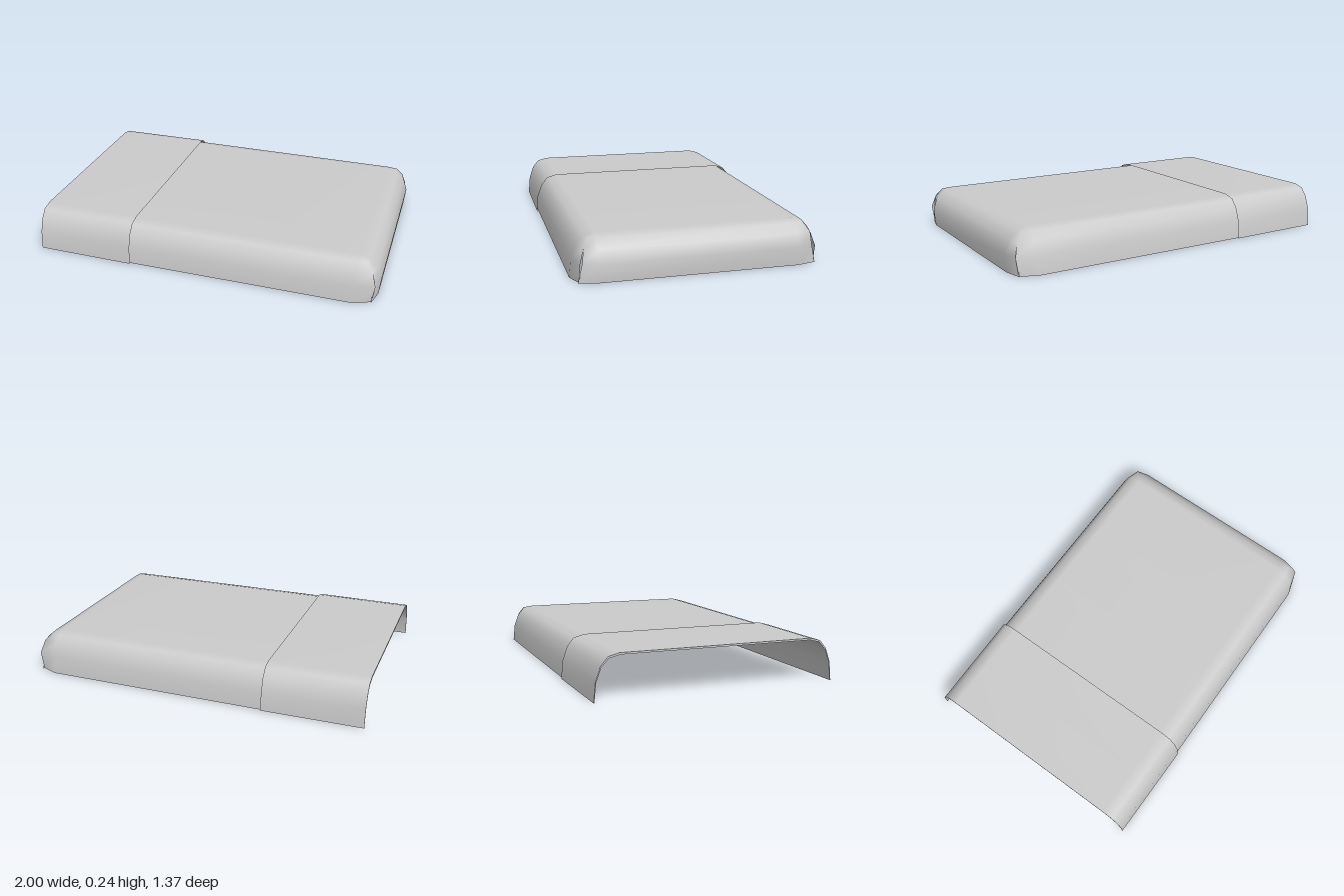
import * as THREE from 'three';
import { mergeVertices, mergeGeometries } from 'three/addons/utils/BufferGeometryUtils.js';

// Skin a list of equal-length rows of [x, y, z] points
function loft(rows) {
  const n = rows[0].length, index = [];
  for (let r = 0; r < rows.length - 1; r++) {
    for (let i = 0; i < n - 1; i++) {
      const a = r * n + i, b = a + 1, d = a + n, c = d + 1;
      index.push(a, b, c, a, c, d);
    }
  }
  const g = new THREE.BufferGeometry();
  g.setAttribute('position', new THREE.Float32BufferAttribute(rows.flat(2), 3));
  g.setIndex(index);
  return g;
}

// Mirror a row from +z to -z, keeping its left-to-right direction along x
const mirrorRow = (row) => row.map(([x, y, z]) => [x, y, -z]);

export function createModel() {
  const group = new THREE.Group();
  const material = new THREE.MeshStandardMaterial({ color: 0xcccccc, side: THREE.DoubleSide });
  const add = (name, parts) => {
    const g = mergeVertices(mergeGeometries(parts), 1e-4);
    g.computeVertexNormals();
    const mesh = new THREE.Mesh(g, material);
    mesh.name = name;
    group.add(mesh);
  };

  // Drape levels, hem to top: height, side z, foot x, corner of side flap, corner of foot flap
  const levels = [
    { y: 0, z: 0.675, x: 0.99, side: [0.965, 0.635], foot: [0.965, 0.645] },
    { y: 0.1, z: 0.665, x: 1.0, side: [0.98, 0.635], foot: [0.967, 0.622] },
    { y: 0.173, z: 0.638, x: 0.975, side: [0.957, 0.613], foot: [0.957, 0.613] },
    { y: 0.217, z: 0.6, x: 0.925, side: [0.92, 0.588], foot: [0.92, 0.588] },
    { y: 0.232, z: 0.54, x: 0.87, side: [0.87, 0.54], foot: [0.87, 0.54] },
  ];
  const xs = [-1, -0.715, -0.43, 0, 0.43, 0.87];

  // Blanket: one sheet over the top and both sides, tucked round the corners
  const sideRows = levels.map(({ y, z, side }) =>
    [...xs.map((x) => [x, y, z]), [side[0], y, side[1]]]);
  const sheet = loft([...sideRows, ...sideRows.map(mirrorRow).reverse()]);

  // Foot drape, meeting the side flaps at the corners
  const foot = loft(levels.map(({ y, x, foot: [cx, cz] }) =>
    [[cx, y, cz], [x, y, 0.54], [x, y, -0.54], [cx, y, -cz]]));
  add('blanket', [sheet, foot]);

  // Folded-back band at the head, flaring slightly towards its free edge
  const half = levels.map(({ y, z }) => [y, z]);
  const arch = [...half, ...half.map(([y, z]) => [y, -z]).reverse()];
  const bandPoint = (x, y, z, grow) => [x, y * 1.043, z + Math.sign(z) * grow];
  add('foldedBand', [loft(arch.map(([y, z]) =>
    [bandPoint(-1, y, z, 0.004), bandPoint(-0.715, y, z, 0.007), bandPoint(-0.43, y, z, 0.01)]))]);

  // Narrow lip joining the fold to the blanket
  add('foldEdge', [loft(arch.map(([y, z]) => [[-1, y, z], bandPoint(-1, y, z, 0.004)].reverse()))]);

  return group;
}
